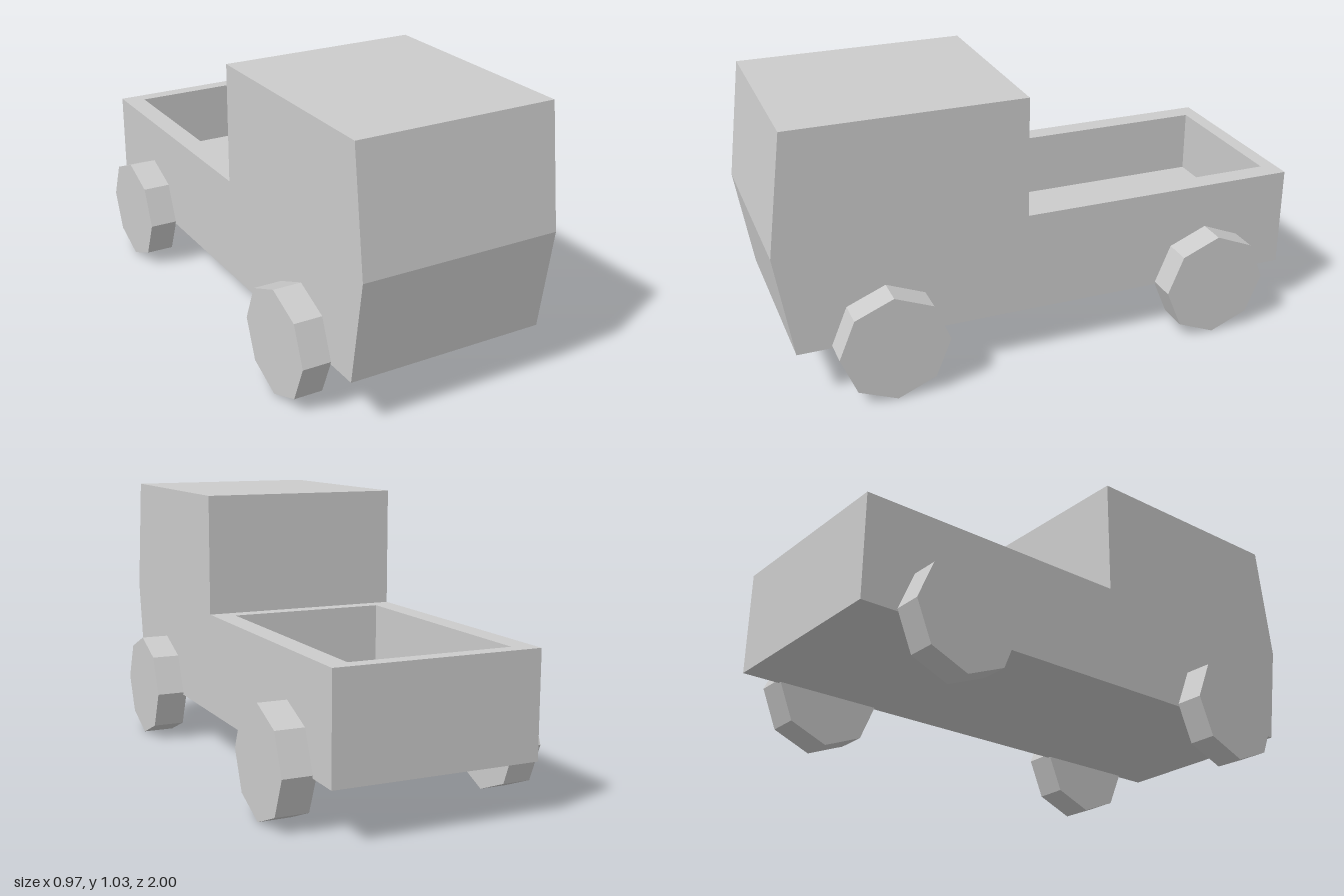
import * as THREE from 'three';

const material = new THREE.MeshStandardMaterial({ color: 0xcccccc, flatShading: true });

const HALF = 0.38;          // half width of the body
const DECK = 0.578;         // height of the bed rim
const CAB_BACK = 0.07;

// Side outline as [z, y], counter-clockwise from the lower front corner
const OUTLINE = [
  [0.94, 0.193], [1, DECK], [0.94, 1.028], [CAB_BACK, 1.028],
  [CAB_BACK, DECK], [-1, DECK], [-1, 0.193],
];
const DECK_EDGE = 4;        // outline edge replaced by the open bed

// Horizontal rectangle of corners, counter-clockwise from above
const rectangle = (halfX, zBack, zFront, y) => [
  [-halfX, y, zFront], [halfX, y, zFront], [halfX, y, zBack], [-halfX, y, zBack],
];

function createBody() {
  const positions = [];
  const triangle = (a, b, c) => positions.push(...a, ...b, ...c);
  const quad = (a, b, c, d) => { triangle(a, b, c); triangle(a, c, d); };
  const band = (outer, inner) => outer.forEach((corner, i) => {
    const j = (i + 1) % outer.length;
    quad(corner, outer[j], inner[j], inner[i]);
  });

  // Panels running across the width
  const at = (x, [z, y]) => [x, y, z];
  OUTLINE.forEach((p, i) => {
    if (i === DECK_EDGE) return;
    const q = OUTLINE[(i + 1) % OUTLINE.length];
    quad(at(-HALF, p), at(HALF, p), at(HALF, q), at(-HALF, q));
  });

  // Flat sides
  const contour = OUTLINE.map(([z, y]) => new THREE.Vector2(z, y));
  for (const [a, b, c] of THREE.ShapeUtils.triangulateShape(contour, [])) {
    triangle(at(-HALF, OUTLINE[a]), at(-HALF, OUTLINE[b]), at(-HALF, OUTLINE[c]));
    triangle(at(HALF, OUTLINE[c]), at(HALF, OUTLINE[b]), at(HALF, OUTLINE[a]));
  }

  // Bed rim, inner walls and floor
  const rim = rectangle(0.3, -0.943, 0.01, DECK);
  const floor = rectangle(0.3, -0.943, 0.01, 0.333);
  band(rectangle(HALF, -1, CAB_BACK, DECK), rim);
  band(rim, floor);
  quad(...floor);

  const geometry = new THREE.BufferGeometry();
  geometry.setAttribute('position', new THREE.Float32BufferAttribute(positions, 3));
  geometry.computeVertexNormals();
  const body = new THREE.Mesh(geometry, material);
  body.name = 'body';
  return body;
}

// Eight-sided wheel spanning two x positions
function createWheel(name, xMin, xMax, z) {
  const radius = 0.203;
  const geometry = new THREE.CylinderGeometry(radius, radius, xMax - xMin, 8);
  geometry.rotateZ(Math.PI / 2);
  const wheel = new THREE.Mesh(geometry, material);
  wheel.position.set((xMin + xMax) / 2, radius, z);
  wheel.name = name;
  return wheel;
}

export function createModel() {
  const model = new THREE.Group();
  model.name = 'pickupTruck';
  model.add(createBody());
  for (const [end, z] of [['front', 0.61], ['rear', -0.66]]) {
    model.add(createWheel(`${end}LeftWheel`, 0.366, 0.487, z));
    model.add(createWheel(`${end}RightWheel`, -0.487, -0.379, z));
  }
  return model;
}
